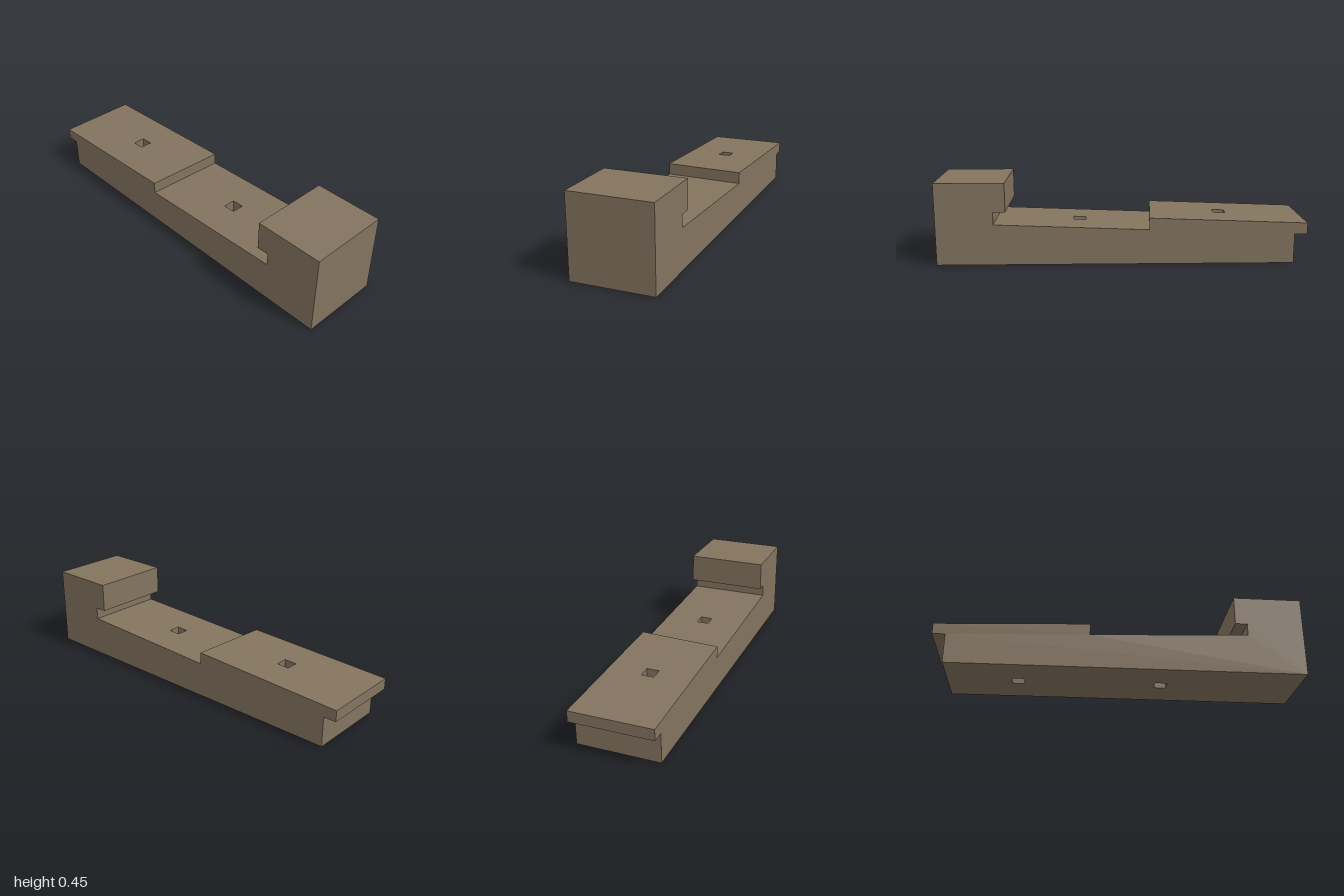
import * as THREE from 'three';
import { mergeGeometries } from 'three/addons/utils/BufferGeometryUtils.js';

const W = 0.223;                                      // half width
const lowerY = (z) => 0.222 + 0.038 * (z - 0.69);     // sloping lower deck
const upperY = (z) => 0.222 + 0.038 * (z + 1);        // sloping upper deck
const stepZ = (x) => -0.158 + 0.055 * x;              // the step runs slightly askew
const HOLE = 0.034;                                   // half size of the square holes

// Side profile as [z, y], starting at the lower front corner
function profile(x) {
  const s = stepZ(x);
  return [
    [1, 0], [-0.932, 0], [-0.932, 0.162], [-1, 0.162], [-1, upperY(-1)],
    [s, upperY(s)], [s, lowerY(s)], [0.69, lowerY(0.69)], [0.69, 0.289],
    [0.624, 0.289], [0.624, 0.448], [1, 0.448],
  ];
}

// Flat polygon with holes, placed in space by a rule
function face(outline, holes, place) {
  const toPoints = (list) => list.map(([u, v]) => new THREE.Vector2(u, v));
  const shape = new THREE.Shape(toPoints(outline));
  holes.forEach((h) => shape.holes.push(new THREE.Path(toPoints(h))));
  const geo = new THREE.ShapeGeometry(shape).toNonIndexed();
  geo.deleteAttribute('uv');
  const p = geo.attributes.position;
  for (let i = 0; i < p.count; i++) p.setXYZ(i, ...place(p.getX(i), p.getY(i)));
  geo.computeVertexNormals();
  return geo;
}

function quad(a, b, c, d) {
  const geo = new THREE.BufferGeometry();
  geo.setAttribute('position', new THREE.Float32BufferAttribute([a, b, c, a, c, d].flat(), 3));
  geo.computeVertexNormals();
  return geo;
}

// Corners of a square hole in plan, [x, -z]
const square = (z) => [[-HOLE, -z - HOLE], [HOLE, -z - HOLE], [HOLE, -z + HOLE], [-HOLE, -z + HOLE]];

export function createModel() {
  const model = new THREE.Group();
  const wood = new THREE.MeshStandardMaterial({ color: 0x84745f });
  wood.name = 'brown wood';
  const add = (name, geos) => {
    const mesh = new THREE.Mesh(mergeGeometries(geos), wood);
    mesh.name = name;
    model.add(mesh);
  };

  const left = profile(W), right = profile(-W);
  const lowerHole = square(0.233), upperHole = square(-0.548);

  // Profile-shaped side walls
  add('leftSide', [face(left.map(([z, y]) => [-z, y]), [], (u, v) => [W, v, -u])]);
  add('rightSide', [face(right, [], (u, v) => [-W, v, u])]);

  // Plain faces running across the width; the base and two decks carry holes
  const holed = [0, 4, 6];
  const walls = [];
  left.forEach(([z, y], i) => {
    if (holed.includes(i)) return;
    const j = (i + 1) % left.length;
    const [z2, y2] = left[j], [rz, ry] = right[i], [rz2, ry2] = right[j];
    walls.push(quad([W, y, z], [-W, ry, rz], [-W, ry2, rz2], [W, y2, z2]));
  });
  add('blockEndsAndSteps', walls);

  // Decks with square holes
  add('lowerDeck', [face(
    [[-W, -0.69], [W, -0.69], [W, -stepZ(W)], [-W, -stepZ(-W)]], [lowerHole],
    (u, v) => [u, lowerY(-v), -v])]);
  add('upperDeck', [face(
    [[-W, -stepZ(-W)], [W, -stepZ(W)], [W, 1], [-W, 1]], [upperHole],
    (u, v) => [u, upperY(-v), -v])]);

  // Base with both holes
  const flip = (h) => h.map(([u, v]) => [u, -v]);
  add('base', [face(
    [[-W, -0.932], [W, -0.932], [W, 1], [-W, 1]], [flip(lowerHole), flip(upperHole)],
    (u, v) => [u, 0, v])]);

  // Inner walls of the through holes
  [['lowerHoleWalls', lowerHole, lowerY], ['upperHoleWalls', upperHole, upperY]].forEach(([name, hole, top]) => {
    add(name, hole.map(([x, v], i) => {
      const [x2, v2] = hole[(i + 1) % 4];
      return quad([x, 0, -v], [x, top(-v), -v], [x2, top(-v2), -v2], [x2, 0, -v2]);
    }));
  });

  return model;
}
